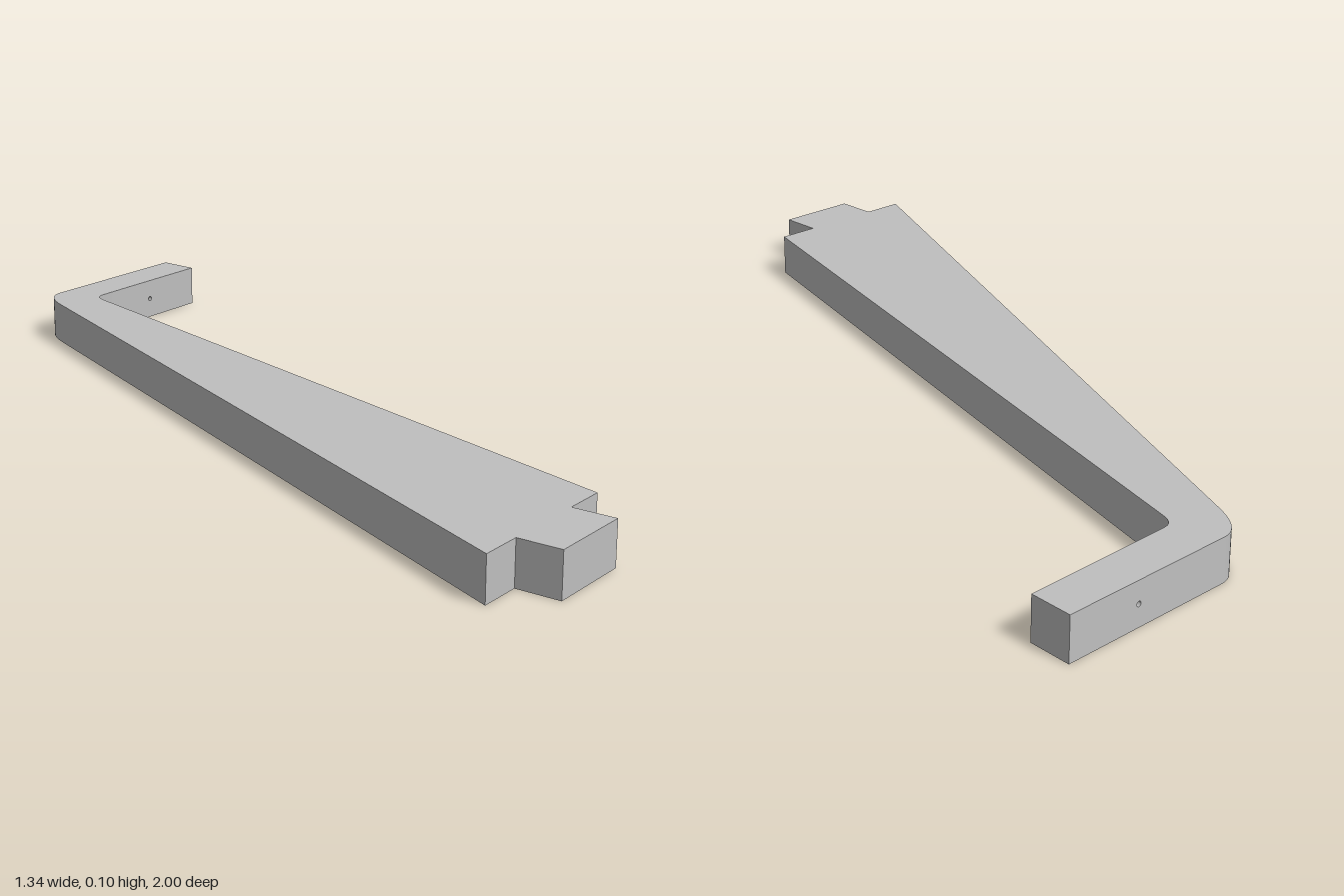
import * as THREE from 'three';
import { toCreasedNormals } from 'three/addons/utils/BufferGeometryUtils.js';

const THICK = 0.1;   // height of the flat bar
const SEAM = 0.4;    // x where the drilled tip joins the bent arm

export function createModel() {
  const model = new THREE.Group();
  model.name = 'bentLever';
  const grey = new THREE.MeshStandardMaterial({ color: 0xbfbfbf });
  grey.name = 'plain grey';

  const add = (name, geometry) => {
    const mesh = new THREE.Mesh(toCreasedNormals(geometry, 0.5), grey);
    mesh.name = name;
    model.add(mesh);
  };

  // Tapered arm with end tongue and rounded bend, drawn in plan (shape y = -z)
  const plan = new THREE.Shape();
  plan.moveTo(-0.57, -1);
  plan.lineTo(-0.37, -1);
  plan.lineTo(-0.37, -0.9);
  plan.lineTo(-0.27, -0.9);
  plan.lineTo(0.255, 0.86);
  plan.quadraticCurveTo(0.265, 0.894, 0.29, 0.895);
  plan.lineTo(SEAM, 0.897);
  plan.lineTo(SEAM, 1);
  plan.lineTo(0.24, 1);
  plan.quadraticCurveTo(0.19, 1, 0.15, 0.91);
  plan.lineTo(-0.67, -0.9);
  plan.lineTo(-0.57, -0.9);
  plan.closePath();
  const arm = new THREE.ExtrudeGeometry(plan, { depth: THICK, bevelEnabled: false, curveSegments: 10 });
  arm.rotateX(-Math.PI / 2);
  add('taperedArm', arm);

  // Hook tip with a small pin hole running front to back
  const face = new THREE.Shape();
  face.moveTo(SEAM, 0);
  face.lineTo(0.667, 0);
  face.lineTo(0.667, THICK);
  face.lineTo(SEAM, THICK);
  face.closePath();
  const hole = new THREE.Path();
  hole.absarc(0.482, 0.05, 0.006, 0, Math.PI * 2, true);
  face.holes.push(hole);
  const tip = new THREE.ExtrudeGeometry(face, { depth: 0.1, bevelEnabled: false, curveSegments: 10 });
  tip.translate(0, 0, -1);

  // Slant the tip's end and taper its inner side slightly
  const p = tip.attributes.position;
  for (let i = 0; i < p.count; i++) {
    if (p.getZ(i) < -0.95) continue;
    const x = p.getX(i);
    p.setZ(i, -0.897 - 0.003 * (x - SEAM) / (0.667 - SEAM));
    if (x > 0.66) p.setX(i, 0.661);
  }
  add('hookTip', tip);

  return model;
}
